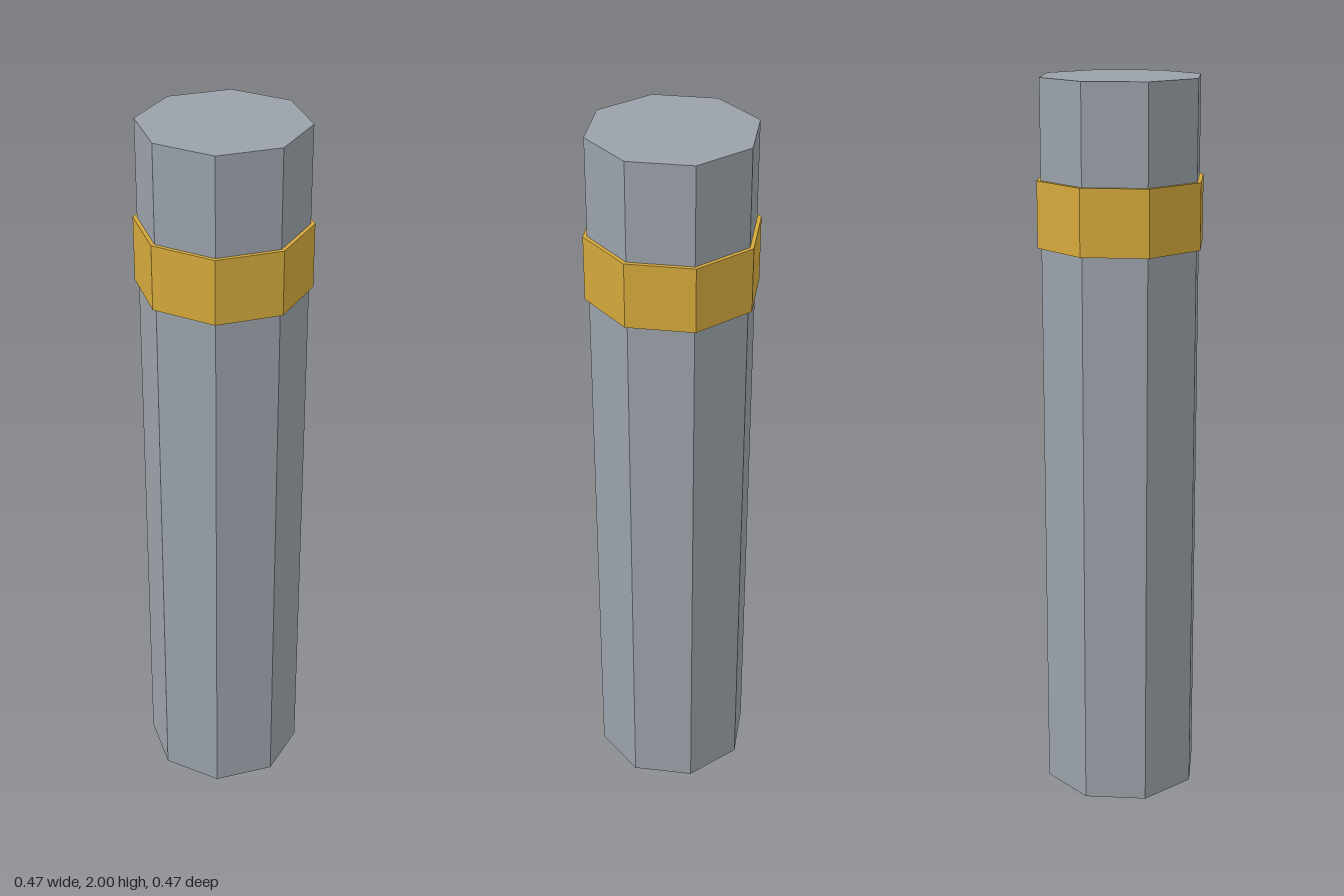
import * as THREE from 'three';

const SIDES = 8;

export function createModel() {
  const steel = new THREE.MeshStandardMaterial({ color: 0x9aa1a9 });
  steel.name = 'steelGrey';
  steel.flatShading = true;
  const gold = new THREE.MeshStandardMaterial({ color: 0xd4a83c });
  gold.name = 'gold';
  gold.flatShading = true;

  const group = new THREE.Group();
  group.name = 'bandedPost';

  // Octagonal prism standing between two heights, corners on the axes
  const addPrism = (name, radius, bottom, top, material) => {
    const height = top - bottom;
    const mesh = new THREE.Mesh(new THREE.CylinderGeometry(radius, radius, height, SIDES), material);
    mesh.name = name;
    mesh.position.y = bottom + height / 2;
    group.add(mesh);
  };

  addPrism('shaft', 0.222, 0, 2, steel);
  addPrism('band', 0.233, 1.558, 1.736, gold);

  return group;
}
